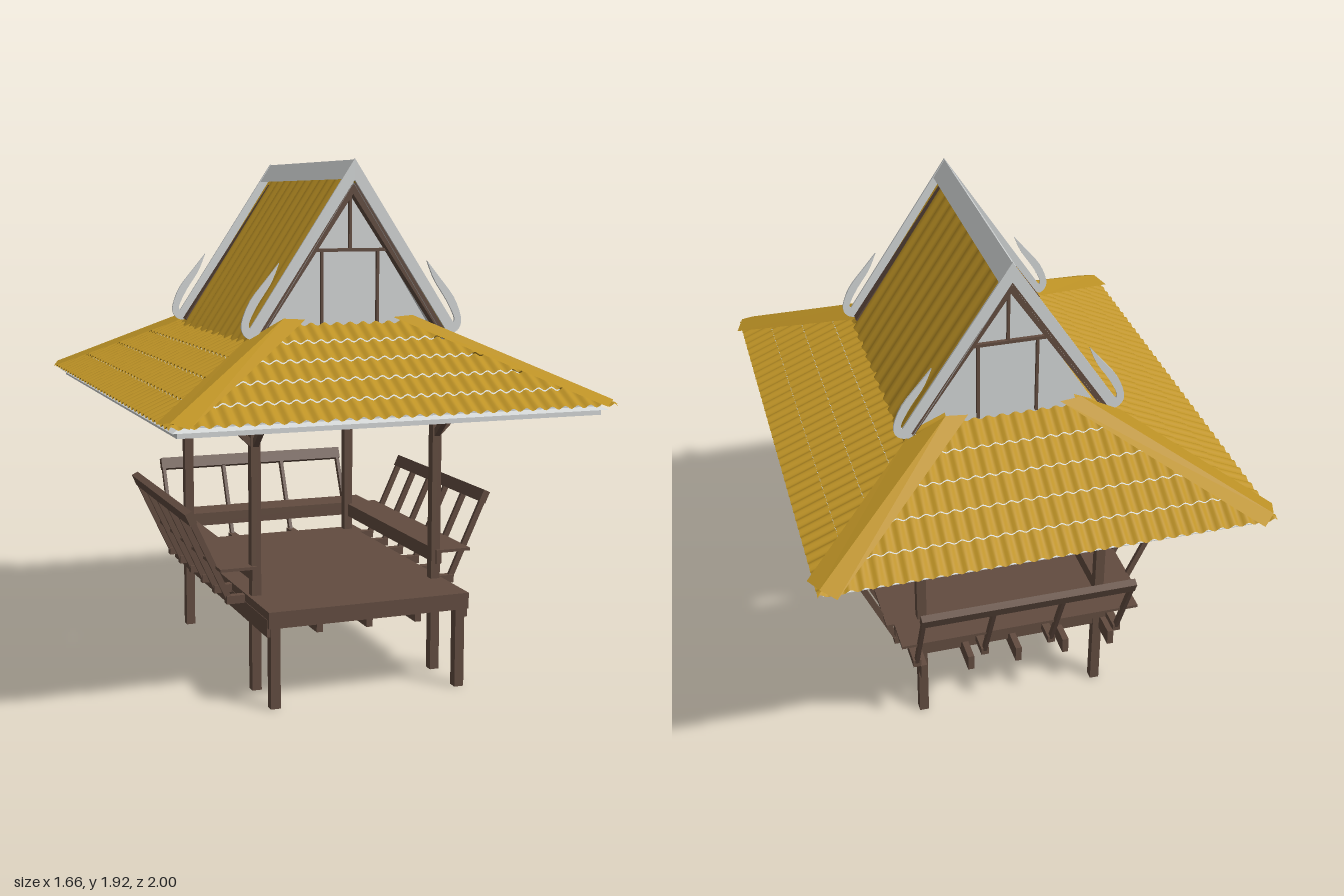
import * as THREE from 'three';

const mat = (name, color, side = THREE.FrontSide) => {
  const m = new THREE.MeshStandardMaterial({ color, side });
  m.name = name;
  return m;
};
const V = (x, y, z) => new THREE.Vector3(x, y, z);

export function createModel() {
  const gold = mat('gold tile', 0xbd9225, THREE.DoubleSide);
  const wood = mat('brown wood', 0x624c40);
  const pale = mat('pale grey trim', 0xd3d6d6, THREE.DoubleSide);
  const model = new THREE.Group();
  model.name = 'pavilion';

  const add = (parent, name, geo, m) => {
    const mesh = new THREE.Mesh(geo, m);
    mesh.name = name;
    parent.add(mesh);
    return mesh;
  };
  // Box given by its limits on each axis
  const box = (parent, name, x0, x1, y0, y1, z0, z1, m = wood) => {
    const mesh = add(parent, name, new THREE.BoxGeometry(x1 - x0, y1 - y0, z1 - z0), m);
    mesh.position.set((x0 + x1) / 2, (y0 + y1) / 2, (z0 + z1) / 2);
    return mesh;
  };
  // Straight timber between two points
  const beam = (parent, name, a, b, w, h, m = wood) => {
    const mesh = new THREE.Mesh(new THREE.BoxGeometry(w, h, a.distanceTo(b)), m);
    mesh.name = name;
    mesh.position.copy(a).lerp(b, 0.5);
    mesh.lookAt(b);
    parent.add(mesh);
    return mesh;
  };
  // Flat four-cornered sheets, corners counter-clockwise from outside
  const sheets = (parent, name, quads, m) => {
    const p = [];
    quads.forEach(([a, b, c, d]) => [a, b, c, a, c, d].forEach(v => p.push(v.x, v.y, v.z)));
    const g = new THREE.BufferGeometry();
    g.setAttribute('position', new THREE.Float32BufferAttribute(p, 3));
    g.computeVertexNormals();
    return add(parent, name, g, m);
  };
  // Wavy tile slope in overlapping rows; tMax trims it along the hips
  const tiles = (half, period, amp, rows, tMax, place) => {
    const p = [], idx = [], n = Math.round((2 * half / period) * 6);
    for (let r = 0; r < rows; r++) {
      const base = p.length / 3;
      for (let i = 0; i <= n; i++) {
        const u = -half + (2 * half * i) / n;
        const wave = amp * Math.cos((2 * Math.PI * u) / period);
        for (const k of [0, 1]) {
          const t = Math.min((r + k) / rows, tMax(u));
          const v = place(u, t, wave + (r + 1 - t * rows) * 0.005);
          p.push(v.x, v.y, v.z);
        }
        if (i < n) {
          const a = base + i * 2;
          idx.push(a, a + 2, a + 3, a, a + 3, a + 1);
        }
      }
    }
    const g = new THREE.BufferGeometry();
    g.setAttribute('position', new THREE.Float32BufferAttribute(p, 3));
    g.setIndex(idx);
    g.computeVertexNormals();
    return g;
  };

  // Deck
  const deck = new THREE.Group();
  deck.name = 'deck';
  model.add(deck);
  box(deck, 'floor', -0.385, 0.385, 0.325, 0.355, -0.48, 0.68);
  box(deck, 'frontBoard', -0.385, 0.385, 0.295, 0.355, 0.665, 0.685);
  for (const x of [-0.375, -0.19, 0, 0.19, 0.375])
    box(deck, 'floorBeam', x - 0.012, x + 0.012, 0.262, 0.325, -0.57, 0.67);
  for (let i = 0; i < 7; i++) {
    const z = -0.45 + i * 0.18;
    box(deck, 'joist', -0.38, 0.38, 0.285, 0.325, z - 0.012, z + 0.012);
  }

  // Posts, front legs and knee braces
  for (const s of [-1, 1]) {
    const x = s * 0.356;
    box(model, 'frontLeg', x - 0.018, x + 0.018, 0, 0.325, 0.637, 0.673);
    for (const z of [-0.45, 0.442]) {
      const d = Math.sign(z);
      box(model, 'post', x - 0.018, x + 0.018, 0, 1.25, z - 0.018, z + 0.018);
      beam(model, 'kneeBrace', V(x, 0.9, z), V(x + s * 0.235, 1.13, z), 0.022, 0.022);
      beam(model, 'kneeBrace', V(x, 0.9, z), V(x, 1.13, z + d * 0.25), 0.022, 0.022);
      beam(model, 'hipRafter', V(x, 1.21, z), V(s * 0.74, 1.055, d * 0.89), 0.025, 0.03);
    }
    box(model, 'sidePlate', x - 0.018, x + 0.018, 1.09, 1.14, -0.5, 0.5);
    box(model, 'sidePurlin', s * 0.58 - 0.015, s * 0.58 + 0.015, 1.09, 1.125, -0.7, 0.7);
    box(model, 'endPlate', -0.4, 0.4, 1.09, 1.14, s * 0.447 - 0.018, s * 0.447 + 0.018);
    box(model, 'endPurlin', -0.58, 0.58, 1.09, 1.13, s * 0.7 - 0.015, s * 0.7 + 0.015);
  }

  // Benches with outward-leaning backs; local +x points outward
  const bench = (name, count, seatHalf) => {
    const g = new THREE.Group();
    g.name = name;
    model.add(g);
    box(g, 'seat', 0.355, 0.495, 0.455, 0.466, -seatHalf, seatHalf);
    box(g, 'seatApron', 0.355, 0.375, 0.413, 0.466, -seatHalf, seatHalf);
    for (let i = 0; i < count; i++) {
      const z = -0.4 + (0.8 * i) / (count - 1);
      beam(g, 'backSlat', V(0.44, 0.33, z), V(0.585, 0.645, z), 0.014, 0.022);
      box(g, 'slatBearer', 0.3, 0.455, 0.32, 0.35, z - 0.015, z + 0.015);
    }
    const rail = box(g, 'topRail', -0.014, 0.014, -0.024, 0.024, -0.41, 0.41);
    rail.position.set(0.584, 0.645, 0);
    rail.rotation.z = -0.43;
    return g;
  };
  bench('leftBench', 6, 0.47);
  bench('rightBench', 6, 0.47).rotation.y = Math.PI;
  const back = bench('backBench', 4, 0.465);
  back.rotation.y = Math.PI / 2;
  back.position.z = -0.11;

  // Lower hipped roof: wavy tiles, hip caps, ceiling and fascia
  const lower = new THREE.Group();
  lower.name = 'lowerRoof';
  model.add(lower);
  const EX = 0.81, EZ = 0.97, RX = 0.57, RZ = 0.5, EY = 1.06, RISE = 0.275;
  const endTiles = tiles(EX, 0.05, 0.006, 5, u => Math.min(1, (EX - Math.abs(u)) / RX),
    (u, t, h) => V(u, EY + RISE * t + h, EZ - RZ * t));
  const sideTiles = tiles(EZ, 0.05, 0.006, 5, u => Math.min(1, (EZ - Math.abs(u)) / RZ),
    (u, t, h) => V(EX - RX * t, EY + RISE * t + h, -u));
  for (const turn of [0, Math.PI]) {
    add(lower, 'endSlope', endTiles, gold).rotation.y = turn;
    add(lower, 'sideSlope', sideTiles, gold).rotation.y = turn;
  }
  const caps = [], ceiling = [];
  for (const sx of [-1, 1]) for (const sz of [-1, 1]) {
    const P = (x, y, z) => V(sx * x, y, sz * z);
    const low = P(0.8, 1.082, 0.955), top = P(0.25, 1.357, 0.46);
    const pair = [
      [P(0.83, 1.068, 0.88), P(0.4, 1.28, 0.465), top, low],
      [low, top, P(0.17, 1.352, 0.465), P(0.75, 1.065, 1)],
    ];
    pair.forEach(q => caps.push(sx * sz > 0 ? q : q.reverse()));
  }
  sheets(lower, 'hipCaps', caps, gold);
  const ring = (x, y, z) => [V(-x, y, z), V(x, y, z), V(x, y, -z), V(-x, y, -z)];
  const eave = ring(0.79, 1.045, 0.945), crown = ring(0.24, 1.31, 0.455);
  for (let i = 0; i < 4; i++) {
    const j = (i + 1) % 4;
    ceiling.push([eave[i], eave[j], crown[j], crown[i]]);
  }
  sheets(lower, 'ceiling', ceiling, pale);
  for (const s of [-1, 1]) {
    box(lower, 'endFascia', -0.77, 0.77, 1.025, 1.068, s * 0.915 - 0.009, s * 0.915 + 0.009, pale);
    box(lower, 'sideFascia', s * 0.761 - 0.009, s * 0.761 + 0.009, 1.025, 1.068, -0.92, 0.92, pale);
  }

  // Upper gabled roof, centred on its own ridge
  const upper = new THREE.Group();
  upper.name = 'upperRoof';
  upper.position.set(0.012, 0, 0.01);
  model.add(upper);
  const steep = tiles(0.465, 0.08, 0.008, 1, () => 1,
    (u, t, h) => V(0.388 * (1 - t) + h * 0.8, 1.262 + 0.6 * t + h * 0.55, -u));
  const lining = [], ridge = [];
  for (const turn of [0, Math.PI]) {
    add(upper, 'steepSlope', steep, gold).rotation.y = turn;
    const s = turn ? -1 : 1;
    lining.push([V(s * 0.37, 1.262, s * 0.46), V(s * 0.37, 1.262, -s * 0.46),
      V(0, 1.835, -s * 0.46), V(0, 1.835, s * 0.46)]);
    ridge.push([V(s * 0.045, 1.847, s * 0.468), V(s * 0.045, 1.847, -s * 0.468),
      V(0, 1.916, -s * 0.468), V(0, 1.916, s * 0.468)]);
  }
  sheets(upper, 'roofLining', lining, pale);
  sheets(upper, 'ridgeCap', ridge, pale);

  // Gable trim: bargeboard half and its upturned hook, mirrored
  const plate = (pts, depth) => new THREE.ExtrudeGeometry(
    new THREE.Shape(pts.map(([x, y]) => new THREE.Vector2(x, y))),
    { depth, bevelEnabled: false });
  const curve = pts => new THREE.SplineCurve(pts.map(([x, y]) => new THREE.Vector2(x, y)))
    .getPoints(18).map(v => [v.x, v.y]);
  const hookOuter = curve([[0.355, 1.29], [0.39, 1.287], [0.418, 1.305], [0.425, 1.345], [0.395, 1.42], [0.335, 1.495], [0.285, 1.555]]);
  const hookInner = curve([[0.285, 1.555], [0.315, 1.485], [0.365, 1.41], [0.398, 1.345], [0.39, 1.325], [0.375, 1.325]]);
  const board = [[0, 1.845], [0.375, 1.285], [0.402, 1.315], [0, 1.92]];
  const flip = (pts, s) => pts.map(([x, y]) => [s * x, y]);
  for (const sz of [-1, 1]) {
    const gable = new THREE.Group();
    gable.name = sz > 0 ? 'frontGable' : 'backGable';
    gable.rotation.y = sz > 0 ? 0 : Math.PI;
    upper.add(gable);
    for (const s of [-1, 1]) {
      add(gable, 'bargeboard', plate(flip(board, s), 0.008), pale).position.z = 0.462;
      add(gable, 'gableHook', plate(flip([...hookOuter, ...hookInner.slice(1)], s), 0.008), pale).position.z = 0.462;
      beam(gable, 'gableRafter', V(0, 1.825, 0.435), V(s * 0.37, 1.285, 0.435), 0.04, 0.034);
      box(gable, 'gableStud', s * 0.108 - 0.005, s * 0.108 + 0.005, 1.3, 1.6, 0.415, 0.43);
    }
    add(gable, 'gablePanel', plate([[-0.34, 1.28], [0.34, 1.28], [0, 1.81]], 0.008), pale).position.z = 0.41;
    box(gable, 'gableRail', -0.14, 0.14, 1.59, 1.602, 0.415, 0.432);
    box(gable, 'kingStud', -0.005, 0.005, 1.6, 1.81, 0.415, 0.43);
  }
  return model;
}
